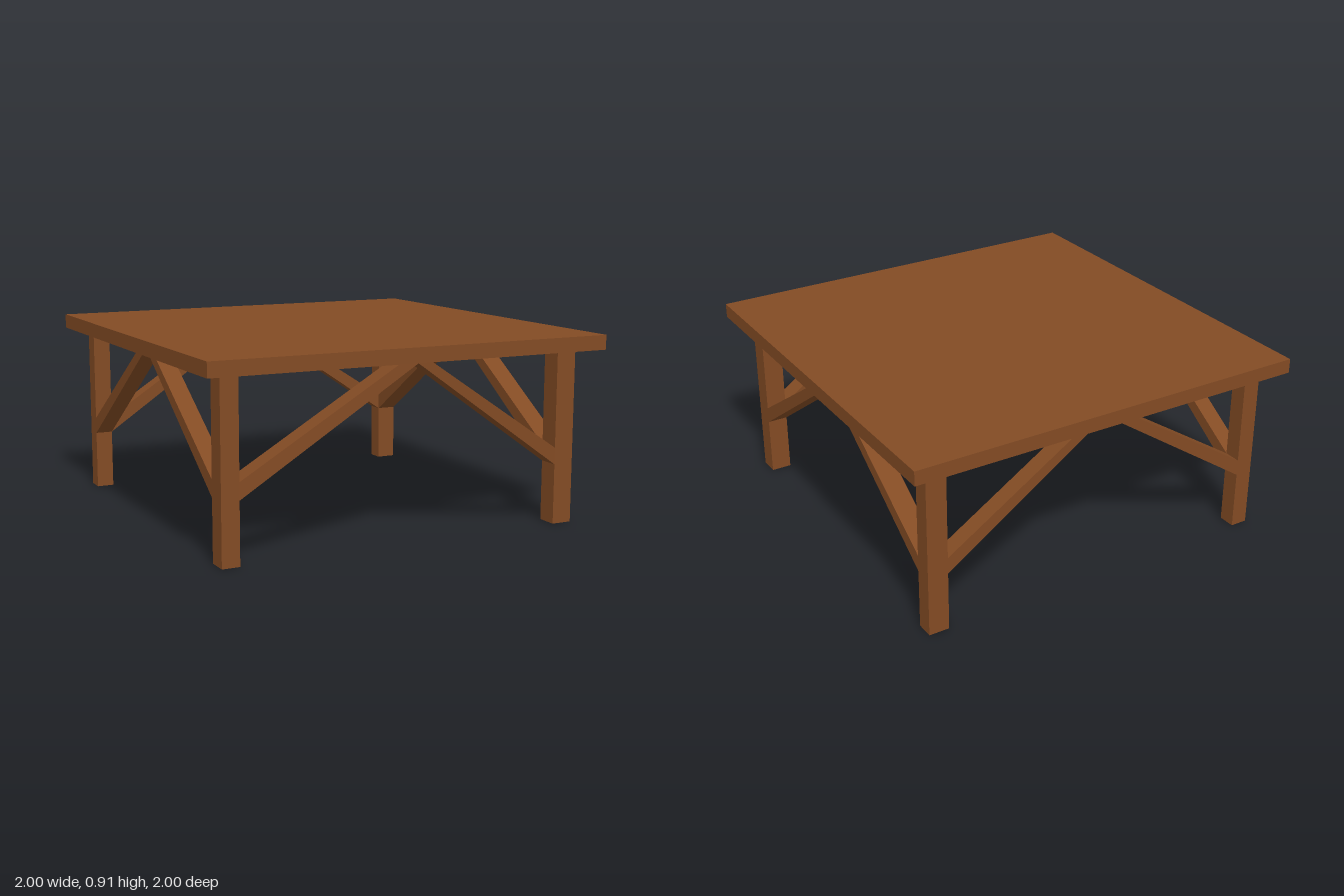
import * as THREE from 'three';

const UNDER = 0.837; // underside of the tabletop
const TOP = 0.907;

export function createModel() {
  const table = new THREE.Group();
  table.name = 'table';
  const wood = new THREE.MeshStandardMaterial({ color: 0x834b24 });
  wood.name = 'brown wood';

  const add = (name, geometry) => {
    const mesh = new THREE.Mesh(geometry, wood);
    mesh.name = name;
    table.add(mesh);
  };
  const block = (name, x0, x1, y0, y1, z0, z1) => {
    const g = new THREE.BoxGeometry(x1 - x0, y1 - y0, z1 - z0);
    add(name, g.translate((x0 + x1) / 2, (y0 + y1) / 2, (z0 + z1) / 2));
  };

  // Square top
  block('tabletop', -1, 1, UNDER, TOP, -1, 1);

  // Posts: the positive sides are slightly thicker than the negative ones
  const spans = [[0.8, 0.9], [-0.905, -0.82]];
  for (const [x0, x1] of spans)
    for (const [z0, z1] of spans) block('leg', x0, x1, 0, UNDER, z0, z1);

  // Diagonal brace from a leg up to the middle of a side; lean pushes its top outward
  const brace = (name, legU, upperU, apexU, [w0, w1], alongZ, lean = 0) => {
    const shape = new THREE.Shape([
      new THREE.Vector2(legU, 0.29),
      new THREE.Vector2(legU, 0.37),
      new THREE.Vector2(upperU, UNDER),
      new THREE.Vector2(apexU, UNDER),
    ]);
    let g = new THREE.ExtrudeGeometry(shape, { depth: w1 - w0, bevelEnabled: false });
    const p = g.attributes.position;
    for (let i = 0; i < p.count; i++)
      p.setZ(i, p.getZ(i) + lean * (legU - p.getX(i)) / (legU - apexU));
    if (alongZ) g.rotateY(-Math.PI / 2).translate(w1, 0, 0);
    else g.translate(0, 0, w0);
    g = g.toNonIndexed ? (g.index ? g.toNonIndexed() : g) : g;
    g.computeVertexNormals();
    add(name, g);
  };

  for (const span of spans) {
    const front = span[0] > 0;
    const lean = front ? 0.1 : 0;
    const end = front ? 'front' : 'back';
    brace(end + 'LeftBrace', 0.8, 0.065, -0.012, span, false, lean);
    brace(end + 'RightBrace', -0.82, -0.1, -0.012, span, false, lean);

    const side = front ? 'left' : 'right';
    brace(side + 'FrontBrace', 0.8, 0.08, -0.003, span, true);
    brace(side + 'BackBrace', -0.82, -0.088, -0.003, span, true);
  }
  return table;
}
